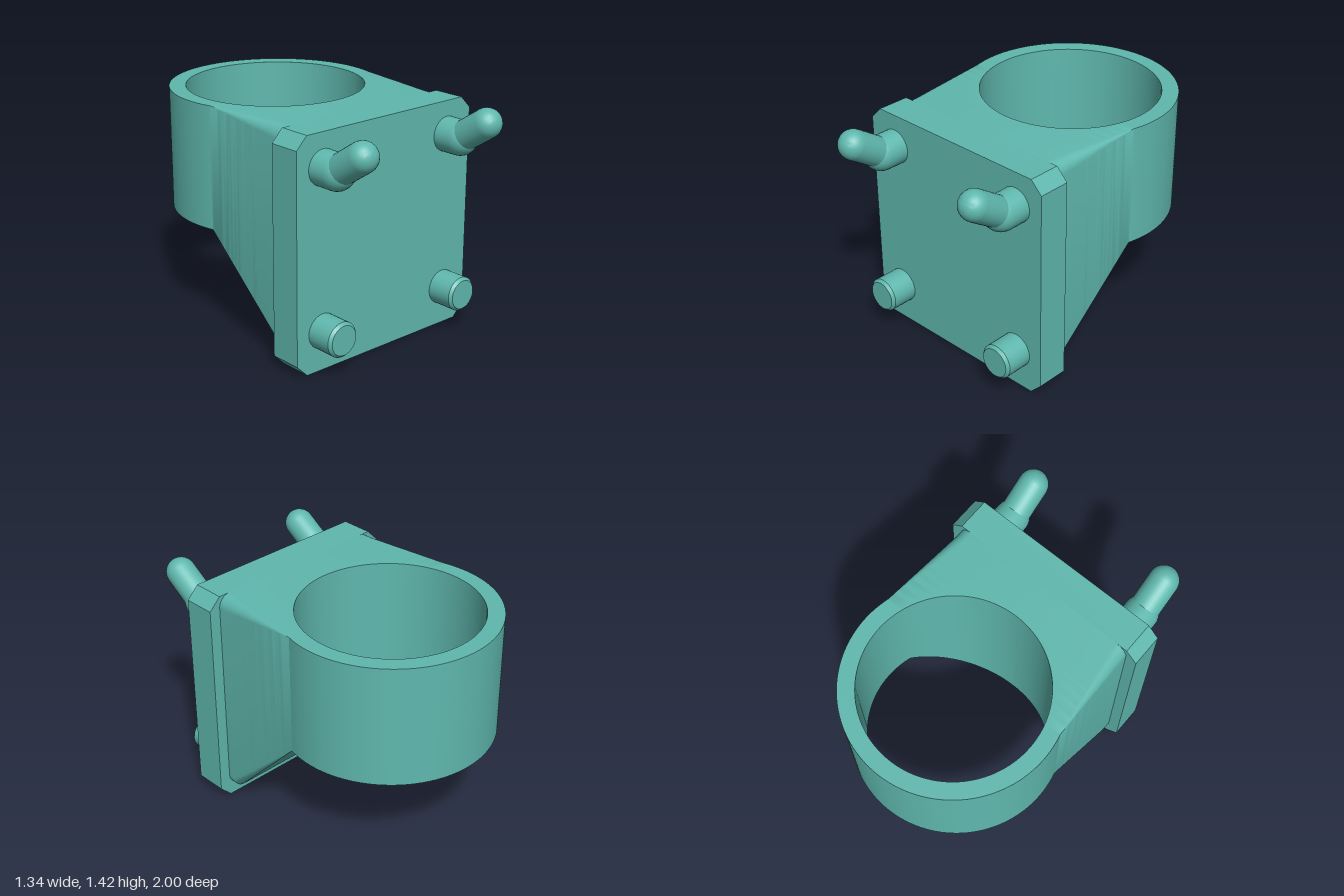
import * as THREE from 'three';
import { toCreasedNormals } from 'three/addons/utils/BufferGeometryUtils.js';

const TOP = 1.4, RING_BOTTOM = 0.65;
const RING_Z = -0.36, R_OUT = 0.64, R_IN = 0.54;
const JOIN_Z = -0.2;          // where the ring meets the bracket
const JOIN = JOIN_Z - RING_Z;
const BACK_Z = 0.41, FRONT_Z = 0.61;

const material = new THREE.MeshStandardMaterial({ color: 0x5fb8ae });

function add(parent, name, geometry, crease = 0.5) {
  const mesh = new THREE.Mesh(toCreasedNormals(geometry, crease), material);
  mesh.name = name;
  parent.add(mesh);
  return mesh;
}

// Mounting plate with chamfered corners
function plateGeometry() {
  const w = 0.67, c = 0.073;
  const shape = new THREE.Shape([
    [w - c, 0], [w, c], [w, TOP - c], [w - c, TOP],
    [c - w, TOP], [-w, TOP - c], [-w, c], [c - w, 0],
  ].map(([x, y]) => new THREE.Vector2(x, y)));
  return new THREE.ExtrudeGeometry(shape, { depth: FRONT_Z - BACK_Z, bevelEnabled: false })
    .translate(0, 0, BACK_Z);
}

// Rear part of the ring, as an arc that ends flat at the bracket
function ringGeometry() {
  const a = Math.asin(JOIN / R_OUT), b = Math.asin(JOIN / R_IN);
  const shape = new THREE.Shape();
  shape.absarc(0, 0, R_OUT, -a, Math.PI + a, false);
  shape.absarc(0, 0, R_IN, Math.PI + b, -b, true);
  return new THREE.ExtrudeGeometry(shape, { depth: TOP - RING_BOTTOM, bevelEnabled: false, curveSegments: 64 })
    .rotateX(-Math.PI / 2)
    .translate(0, RING_BOTTOM, RING_Z);
}

// Half of the bracket: cross-sections along z, from the ring end to the plate,
// with the inner edge following the round bore
function bracketGeometry(side) {
  const stations = [], steps = 32, arc = 8;
  const start = Math.asin(JOIN / R_IN);
  for (let k = 0; k <= steps; k++) {
    const a = THREE.MathUtils.lerp(start, Math.PI / 2, k / steps);
    stations.push([RING_Z + R_IN * Math.sin(a), k === steps ? 0 : R_IN * Math.cos(a)]);
  }
  stations.push([0.36, 0], [BACK_Z, 0]);

  const joinX = Math.sqrt(R_OUT ** 2 - JOIN ** 2);
  const positions = [], indices = [];
  for (const [z, inner] of stations) {
    const t = Math.min(1, (z - JOIN_Z) / (0.36 - JOIN_Z));
    const outer = THREE.MathUtils.lerp(joinX, 0.6, t);
    const bottom = THREE.MathUtils.lerp(RING_BOTTOM, 0.07, t);
    const r = 0.075 * t;
    positions.push(side * inner, TOP, z);
    for (const [cy, from] of [[TOP - r, Math.PI / 2], [bottom + r, 0]]) {
      for (let i = 0; i <= arc; i++) {
        const a = from - (i / arc) * Math.PI / 2;
        positions.push(side * (outer - r + r * Math.cos(a)), cy + r * Math.sin(a), z);
      }
    }
    positions.push(side * inner, bottom, z);
  }

  const n = 2 * (arc + 1) + 2;
  for (let j = 0; j < stations.length - 1; j++) {
    for (let i = 0; i < n; i++) {
      if (i === n - 1 && stations[j][1] === 0) continue; // halves join here
      const next = (i + 1) % n;
      const a = j * n + i, b = a + n, c = j * n + next, d = c + n;
      if (side > 0) indices.push(a, b, c, b, d, c);
      else indices.push(a, c, b, b, c, d);
    }
  }
  const geometry = new THREE.BufferGeometry();
  geometry.setAttribute('position', new THREE.Float32BufferAttribute(positions, 3));
  geometry.setIndex(indices);
  return geometry;
}

// Solid of revolution along +z
function pegGeometry(profile) {
  return new THREE.LatheGeometry(profile.map(([r, l]) => new THREE.Vector2(r, l)), 32)
    .rotateX(Math.PI / 2);
}

// Dome profile points ending a rod of radius r at length l
function dome(r, l) {
  return Array.from({ length: 9 }, (_, i) => {
    const a = (i / 8) * Math.PI / 2;
    return [i === 8 ? 0 : r * Math.cos(a), l + r * Math.sin(a)];
  });
}

export function createModel() {
  const model = new THREE.Group();
  model.name = 'ringHolder';

  add(model, 'mountingPlate', plateGeometry());
  add(model, 'ring', ringGeometry());

  for (const side of [1, -1]) {
    const label = side > 0 ? 'left' : 'right';
    add(model, label + 'Bracket', bracketGeometry(side));

    // Short lower peg with a chamfered tip
    const peg = add(model, label + 'LowerPeg',
      pegGeometry([[0.105, -0.02], [0.105, 0.157], [0.089, 0.175], [0, 0.175]]));
    peg.position.set(side * 0.48, 0.24, FRONT_Z);

    // Upper hook: straight stub, then a thinner arm bent upwards
    const hook = new THREE.Group();
    hook.name = label + 'Hook';
    hook.position.set(side * 0.48, 1.2, FRONT_Z);
    add(hook, 'hookStub', pegGeometry([[0.105, -0.02], ...dome(0.105, 0.11)]));
    const arm = add(hook, 'hookArm', pegGeometry([[0.09, 0], ...dome(0.09, 0.23)]));
    arm.position.z = 0.11;
    arm.rotation.x = -Math.atan2(0.125, 0.19);
    model.add(hook);
  }
  return model;
}
